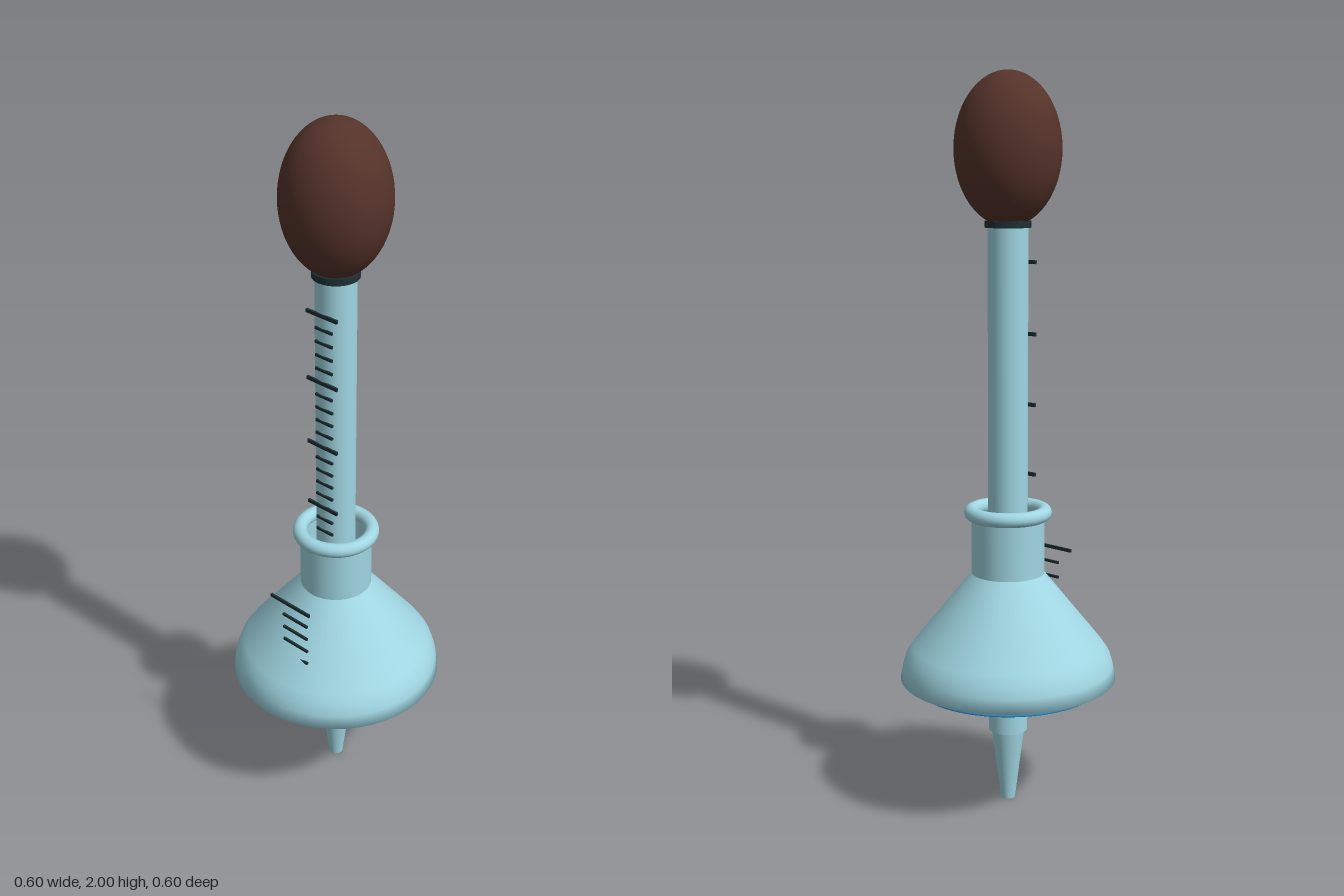
import * as THREE from 'three';

const material = (name, color, side = THREE.FrontSide) => {
  const m = new THREE.MeshStandardMaterial({ color, side });
  m.name = name;
  return m;
};

export function createModel() {
  const glass = material('pale blue glass', 0xa0d6e2, THREE.DoubleSide);
  const rubber = material('brown rubber', 0x55332a);
  const liquid = material('blue liquid', 0x2e8ac4);
  const ink = material('dark ink', 0x1e3034);

  const model = new THREE.Group();
  model.name = 'dropper';

  const add = (name, geometry, mat, x = 0, y = 0, z = 0, parent = model) => {
    const mesh = new THREE.Mesh(geometry, mat);
    mesh.name = name;
    mesh.position.set(x, y, z);
    parent.add(mesh);
    return mesh;
  };

  // Squeeze bulb and the dark ring beneath it
  add('bulb', new THREE.SphereGeometry(0.142, 48, 32), rubber, 0, 1.8).scale.y = 0.2 / 0.142;
  add('bulbCollar', new THREE.CylinderGeometry(0.062, 0.062, 0.018, 48), ink, 0, 1.607);

  // Stem and tapered tip
  add('stem', new THREE.CylinderGeometry(0.054, 0.054, 1.405, 48), glass, 0, 0.9075);
  add('tip', new THREE.CylinderGeometry(0.046, 0.02, 0.206, 48), glass, 0, 0.103);

  // Flask body, smoothly rounded under its base edge
  const profile = [
    [0.262, 0.347], [0.299, 0.362], [0.292, 0.4],
    [0.283, 0.428], [0.265, 0.455], [0.1, 0.66],
  ].map(([r, y]) => new THREE.Vector2(r, y));
  add('flaskBody', new THREE.LatheGeometry(profile, 64), glass);

  // Open neck and rolled lip
  add('flaskNeck', new THREE.CylinderGeometry(0.1, 0.1, 0.175, 64, 1, true), glass, 0, 0.7475);
  add('flaskLip', new THREE.TorusGeometry(0.1, 0.02, 20, 64), glass, 0, 0.83).rotation.x = Math.PI / 2;

  // Liquid bulging from the flask base
  add('liquid', new THREE.SphereGeometry(0.266, 64, 20), liquid, 0, 0.344).scale.y = 0.02 / 0.266;

  // Graduation marks
  const mark = (parent, x0, x1, y, z, height) =>
    add('mark', new THREE.BoxGeometry(x1 - x0, height, 0.006), ink, (x0 + x1) / 2, y, z, parent);

  const stemScale = new THREE.Group();
  stemScale.name = 'stemScale';
  for (let i = 0; i < 18; i++) {
    const y = 1.507 - i * 0.0383;
    if (i % 5 === 0) mark(stemScale, -0.051, 0.053, y, 0.054, 0.01);
    else mark(stemScale, -0.021, 0.037, y, 0.054, 0.007);
  }

  const flaskScale = new THREE.Group();
  flaskScale.name = 'flaskScale';
  for (let i = 0; i < 5; i++) {
    const y = 0.689 - i * 0.043;
    if (i === 0) mark(flaskScale, -0.056, 0.088, y, 0.203, 0.009);
    else mark(flaskScale, -0.011, 0.079, y, 0.203, 0.007);
  }
  model.add(stemScale, flaskScale);

  return model;
}
